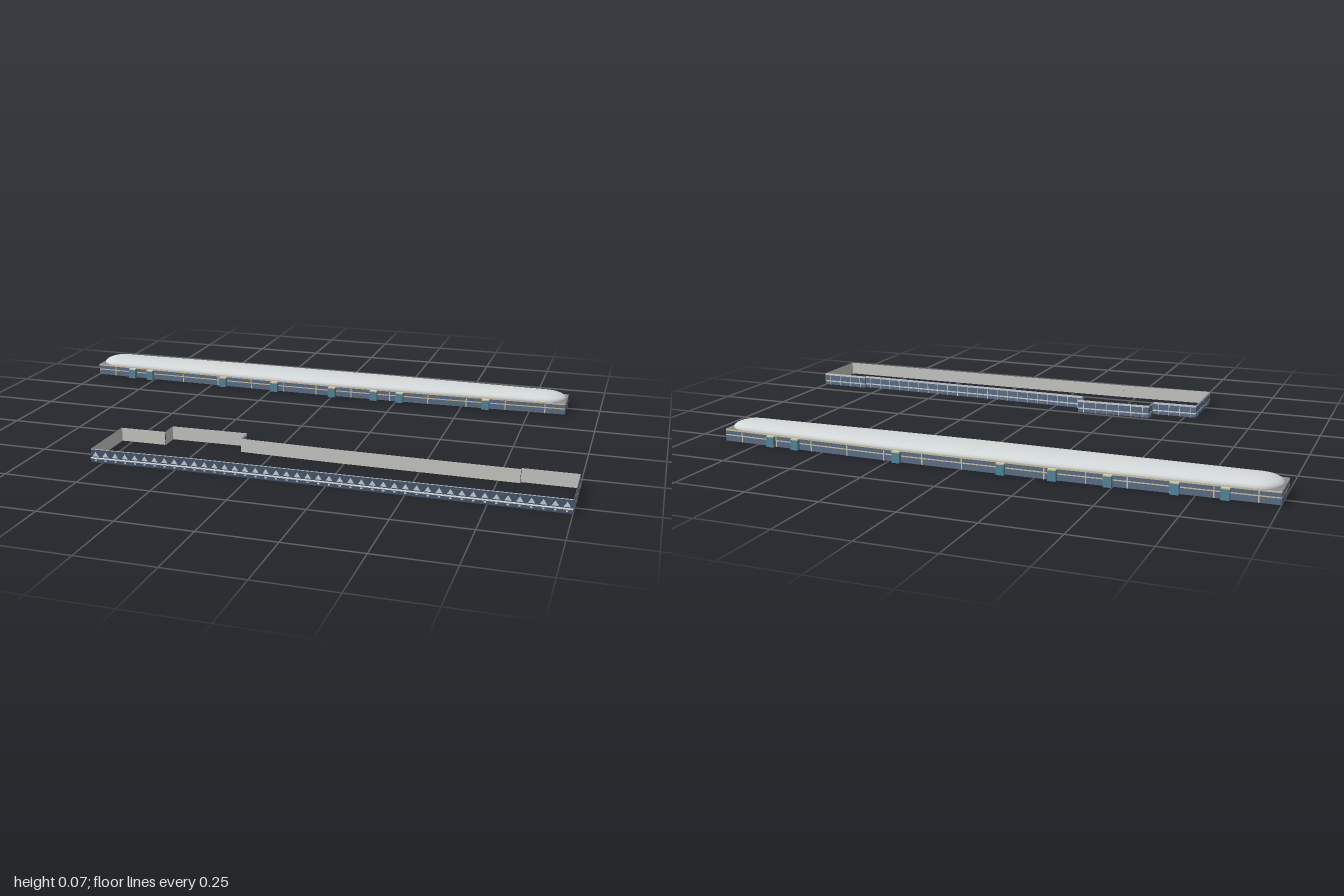
import * as THREE from 'three';
import { mergeGeometries } from 'three/addons/utils/BufferGeometryUtils.js';

const mat = (name, color, side = THREE.FrontSide) => {
  const m = new THREE.MeshStandardMaterial({ color, side });
  m.name = name;
  return m;
};

// Upright strip along a plan outline [x, z]; faces the outside, pushed out by off
function ribbon(points, y0, y1, off = 0) {
  const pos = [];
  for (let i = 0; i < points.length - 1; i++) {
    const [ax, az] = points[i], [bx, bz] = points[i + 1];
    const len = Math.hypot(bx - ax, bz - az);
    const nx = -(bz - az) / len * off, nz = (bx - ax) / len * off;
    const a = [ax + nx, az + nz], b = [bx + nx, bz + nz];
    for (const [p, y] of [[a, y0], [b, y0], [b, y1], [a, y0], [b, y1], [a, y1]]) pos.push(p[0], y, p[1]);
  }
  const g = new THREE.BufferGeometry();
  g.setAttribute('position', new THREE.Float32BufferAttribute(pos, 3));
  g.computeVertexNormals();
  return g;
}

// Several bands [y0, y1] of one wall
const bands = (points, ranges) => mergeGeometries(ranges.map(([a, b]) => ribbon(points, a, b)));

// Calls fn(point, direction) at even steps along every segment
function along(points, step, fn) {
  for (let i = 0; i < points.length - 1; i++) {
    const [ax, az] = points[i], [bx, bz] = points[i + 1];
    const len = Math.hypot(bx - ax, bz - az), n = Math.max(1, Math.round(len / step));
    const d = [(bx - ax) / len, (bz - az) / len];
    for (let k = 0; k < n; k++) {
      const s = (k + 0.5) / n * len;
      fn([ax + d[0] * s, az + d[1] * s], d);
    }
  }
}

// Thin upright bars spread along an outline
function posts(points, step, width, y0, y1) {
  const list = [];
  along(points, step, ([x, z], [dx, dz]) => {
    const w = width / 2;
    list.push(ribbon([[x - dx * w, z - dz * w], [x + dx * w, z + dz * w]], y0, y1, 0.0025));
  });
  return mergeGeometries(list);
}

// Piecewise-linear lookup of z on a list of [x, z]
function zAt(pts, x) {
  for (let i = 0; i < pts.length - 1; i++) {
    const [a, b] = [pts[i], pts[i + 1]];
    if (x <= b[0]) return a[1] + (b[1] - a[1]) * Math.max(0, (x - a[0]) / (b[0] - a[0]));
  }
  return pts[pts.length - 1][1];
}

export function createModel() {
  const root = new THREE.Group();
  const slate = mat('slate glass', 0x60738c), dark = mat('dark slate', 0x4a5a70);
  const beige = mat('beige trim', 0xd8cca8, THREE.DoubleSide), tan = mat('tan inner wall', 0xd4bea4);
  const teal = mat('teal glass', 0x578ca4), shell = mat('pale roof', 0xd4d9d9);
  const grey = mat('deck grey', 0x888c8d), inner = mat('inner grey', 0xcfcfcc);
  const light = mat('light frame', 0xd6dade, THREE.DoubleSide);
  const add = (parent, name, geo, material) => {
    const m = new THREE.Mesh(geo, material);
    m.name = name;
    parent.add(m);
    return m;
  };

  // ---------- Long hall with a domed roof ----------
  const hall = new THREE.Group();
  hall.name = 'longHall';
  root.add(hall);
  const H = 0.042;
  const front = [[-1, -0.41], [-0.4, -0.398], [0, -0.393], [0.3, -0.398], [0.88, -0.418]];
  const back = [[-1, -0.55], [-0.35, -0.562], [0.2, -0.562], [0.88, -0.543]];
  const plan = [...front, ...[...back].reverse(), front[0]];
  add(hall, 'hallGlazing', bands(plan, [[0, 0.0195], [0.0235, 0.036]]), slate);
  add(hall, 'hallTrim', bands(plan, [[0.0195, 0.0235], [0.036, H]]), beige);
  add(hall, 'hallPosts', posts(plan, 0.14, 0.004, 0, 0.036), beige);
  add(hall, 'hallInnerWalls', ribbon([...plan].reverse(), 0, H, 0.002), tan);

  // Flat deck and the ceiling beneath it
  const shape = new THREE.Shape(plan.map(([x, z]) => new THREE.Vector2(x, -z)));
  add(hall, 'hallDeck', new THREE.ShapeGeometry(shape).rotateX(-Math.PI / 2).translate(0, H, 0), grey);
  const flat = new THREE.Shape(plan.map(([x, z]) => new THREE.Vector2(x, z)));
  add(hall, 'hallCeiling', new THREE.ShapeGeometry(flat).rotateX(Math.PI / 2).translate(0, H - 0.002, 0), grey);

  // Dome: half-ellipse sections that shrink to round ends
  const NX = 64, NA = 20, x0 = -0.998, x1 = 0.878, R = 0.075;
  const pos = [], idx = [];
  for (let i = 0; i <= NX; i++) {
    // Sections bunch up towards both ends
    const x = x0 + (x1 - x0) * (0.5 - 0.5 * Math.cos(Math.PI * i / NX));
    const d = Math.min(x - x0, x1 - x, R) / R;
    const cap = Math.sqrt(Math.max(0, 1 - (1 - d) ** 2));
    const zf = zAt(front, x), zb = zAt(back, x), c = (zf + zb) / 2, w = (zf - zb) / 2 * cap;
    for (let j = 0; j <= NA; j++) {
      const a = Math.PI * j / NA;
      pos.push(x, H + 0.0245 * cap * Math.sin(a) ** 0.9, c + w * Math.cos(a));
    }
  }
  for (let i = 0; i < NX; i++) for (let j = 0; j < NA; j++) {
    const a = i * (NA + 1) + j, b = a + NA + 1;
    idx.push(a, b, a + 1, b, b + 1, a + 1);
  }
  const dome = new THREE.BufferGeometry();
  dome.setAttribute('position', new THREE.Float32BufferAttribute(pos, 3));
  dome.setIndex(idx);
  dome.computeVertexNormals();
  add(hall, 'domedRoof', dome, shell);

  // Entrance bays on both long sides
  const bay = (x, z, side) => {
    const g = new THREE.Group();
    g.name = 'entranceBay';
    const zc = z + side * 0.004 + 0.002;
    add(g, 'bayGlass', new THREE.BoxGeometry(0.027, 0.034, 0.024).translate(x, 0.017, zc), teal);
    add(g, 'bayRoof', new THREE.BoxGeometry(0.027, 0.004, 0.024).translate(x, 0.036, zc), beige);
    hall.add(g);
  };
  for (const x of [-0.845, -0.768, -0.45, -0.235, 0, 0.165, 0.265, 0.59]) bay(x, zAt(front, x), 1);
  for (const x of [-0.84, -0.69, -0.485, -0.31, -0.14, 0.22, 0.6, 0.695]) bay(x, zAt(back, x), -1);

  // ---------- Open-topped stepped building ----------
  const court = new THREE.Group();
  court.name = 'steppedBuilding';
  root.add(court);
  const T = 0.046;
  const facade = [[-0.54, 0.567], [-0.2, 0.554], [1, 0.55]];
  const rear = [[1, 0.55], [1, 0.33], [0.82, 0.33], [0.82, 0.34], [0.22, 0.335], [-0.11, 0.325],
    [-0.11, 0.266], [-0.38, 0.272], [-0.38, 0.335], [-0.54, 0.338], [-0.54, 0.567]];
  add(court, 'frontWall', ribbon(facade, 0, 0.0435), dark);
  add(court, 'frontCoping', ribbon(facade, 0.0435, T), light);
  add(court, 'rearGlazing', bands(rear, [[0, 0.012], [0.017, 0.038]]), slate);
  add(court, 'rearRails', bands(rear, [[0.012, 0.017], [0.038, T]]), light);
  add(court, 'rearPosts', posts(rear, 0.042, 0.0025, 0, 0.038), light);
  add(court, 'cornerPost', ribbon([[1, 0.338], [1, 0.33]], 0, T, 0.003), beige);
  add(court, 'innerWalls', ribbon([...facade, ...rear.slice(1)].reverse(), 0, T, 0.002), inner);

  // Front wall: row of small triangles over a row of short bars
  const tri = [];
  along(facade, 0.034, ([x, z], [dx, dz]) => {
    const s = new THREE.Shape([[-0.011, 0.021], [0.011, 0.021], [0, 0.038]].map(p => new THREE.Vector2(...p)));
    tri.push(new THREE.ShapeGeometry(s).rotateY(Math.atan2(-dz, dx)).translate(x, 0, z + 0.0025));
  });
  add(court, 'facadeTriangles', mergeGeometries(tri), light);
  add(court, 'facadeBars', posts(facade, 0.034, 0.007, 0.006, 0.011), light);

  // Narrow ledge along the front wall
  for (let i = 0; i < 2; i++) {
    const [a, b] = [facade[i], facade[i + 1]];
    const len = Math.hypot(b[0] - a[0], b[1] - a[1]);
    const ledge = add(court, 'facadeLedge', new THREE.BoxGeometry(len, 0.002, 0.009), light);
    ledge.position.set((a[0] + b[0]) / 2, 0.016, (a[1] + b[1]) / 2 + 0.004);
    ledge.rotation.y = Math.atan2(a[1] - b[1], b[0] - a[0]);
  }
  return root;
}
